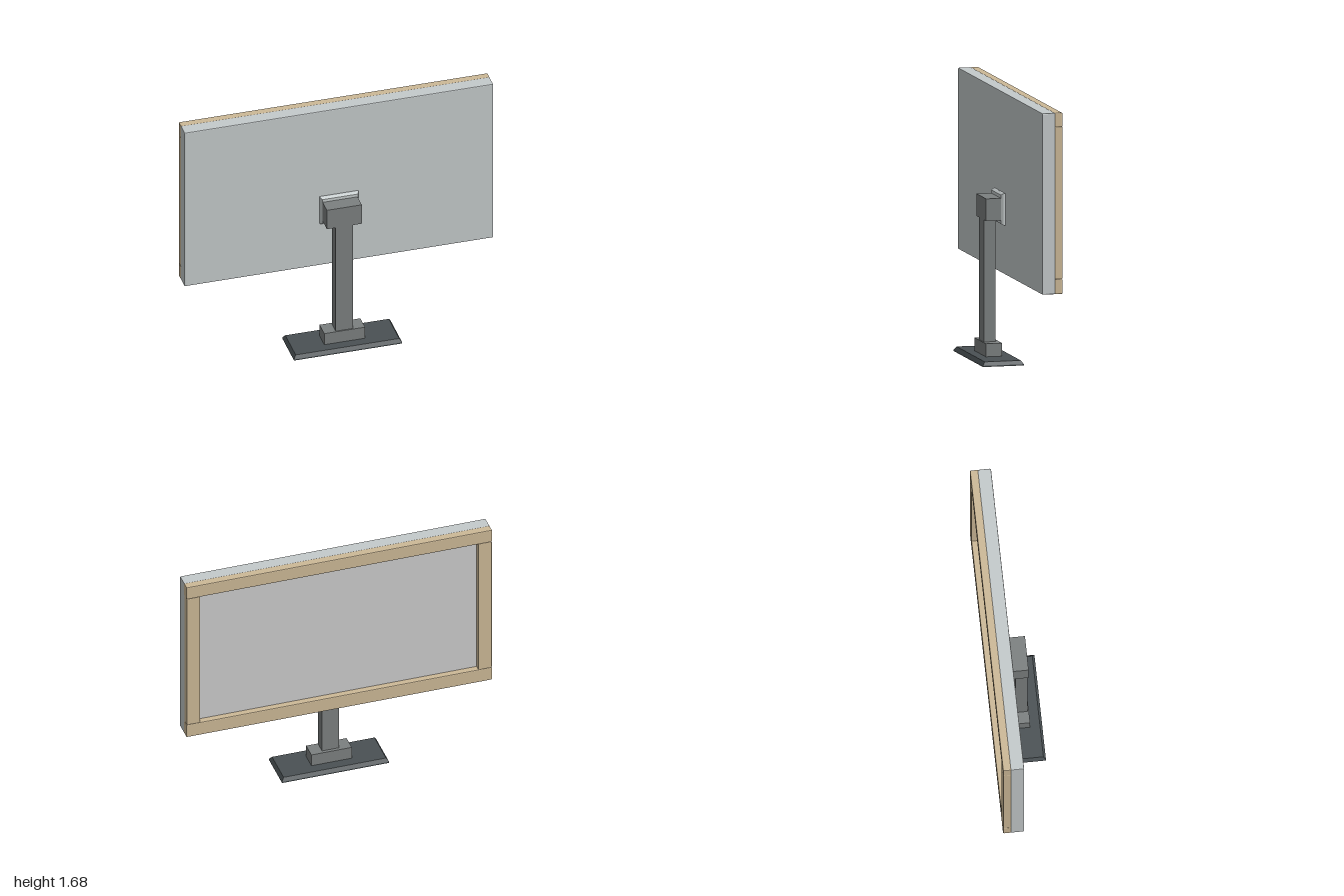
import * as THREE from 'three';
import { RoundedBoxGeometry } from 'three/addons/geometries/RoundedBoxGeometry.js';

const paint = (color) => new THREE.MeshStandardMaterial({ color, flatShading: true });

// Box spanning the given ranges; a bevel softens its edges
function block(name, material, [x0, x1], [y0, y1], [z0, z1], bevel = 0) {
  const size = [x1 - x0, y1 - y0, z1 - z0];
  const geometry = bevel
    ? new RoundedBoxGeometry(...size, 1, bevel)
    : new THREE.BoxGeometry(...size);
  const mesh = new THREE.Mesh(geometry, material);
  mesh.name = name;
  mesh.position.set((x0 + x1) / 2, (y0 + y1) / 2, (z0 + z1) / 2);
  return mesh;
}

// Rectangular plate (w x h, thickness t) along +z with a sloped front rim
function bevelledPlate(name, material, w, h, t, lip, inset) {
  const a = w / 2 - inset, b = h / 2 - inset;
  const shape = new THREE.Shape([
    new THREE.Vector2(-a, -b), new THREE.Vector2(a, -b),
    new THREE.Vector2(a, b), new THREE.Vector2(-a, b),
  ]);
  const geometry = new THREE.ExtrudeGeometry(shape, { depth: t, bevelEnabled: false });
  const p = geometry.attributes.position;
  // Push the back ring outwards, leaving the front face inset
  for (let i = 0; i < p.count; i++) {
    if (p.getZ(i) > t / 2) continue;
    p.setX(i, p.getX(i) + Math.sign(p.getX(i)) * inset);
    p.setY(i, p.getY(i) + Math.sign(p.getY(i)) * inset);
    p.setZ(i, lip);
  }
  geometry.computeVertexNormals();
  const group = new THREE.Group();
  group.name = name;
  const rim = new THREE.Mesh(geometry, material);
  rim.name = name + 'Top';
  group.add(rim, block(name + 'Lip', material, [-w / 2, w / 2], [-h / 2, h / 2], [0, lip]));
  return group;
}

export function createModel() {
  const model = new THREE.Group();
  const shell = paint(0xc4cacb);
  const wood = paint(0xcdb997);
  const stand = paint(0x7c8080);
  const dark = paint(0x4a5154);
  const grey = paint(0xcccccc);

  // Display housing and recessed screen
  model.add(
    block('housing', shell, [-1, 1], [0.54, 1.68], [-0.12, -0.035], 0.006),
    block('screen', grey, [-0.93, 0.93], [0.61, 1.61], [-0.128, -0.11]),
  );

  // Frame around the screen: full-width rails, stiles between them
  const depth = [-0.167, -0.116];
  model.add(
    block('topRail', wood, [-1, 1], [1.59, 1.68], depth, 0.006),
    block('bottomRail', wood, [-1, 1], [0.54, 0.635], depth, 0.006),
  );
  for (const [name, range] of [['leftStile', [0.91, 0.999]], ['rightStile', [-0.999, -0.91]]]) {
    model.add(block(name, wood, range, [0.633, 1.592], depth, 0.005));
  }

  // Mounting plate and stand
  const mount = bevelledPlate('mountPlate', shell, 0.25, 0.2, 0.025, 0.01, 0.01);
  mount.position.set(0, 0.95, -0.035);
  model.add(
    mount,
    block('mountHead', stand, [-0.113, 0.113], [0.88, 1.02], [-0.01, 0.085]),
    block('column', stand, [-0.056, 0.056], [0.11, 0.88], [0.008, 0.085]),
    block('columnFoot', stand, [-0.132, 0.132], [0.03, 0.112], [-0.013, 0.092]),
  );

  // Base with sloped rim
  const base = bevelledPlate('base', dark, 0.7, 0.262, 0.03, 0.008, 0.015);
  base.rotation.x = -Math.PI / 2;
  base.position.set(0, 0, 0.038);
  model.add(base);

  return model;
}
